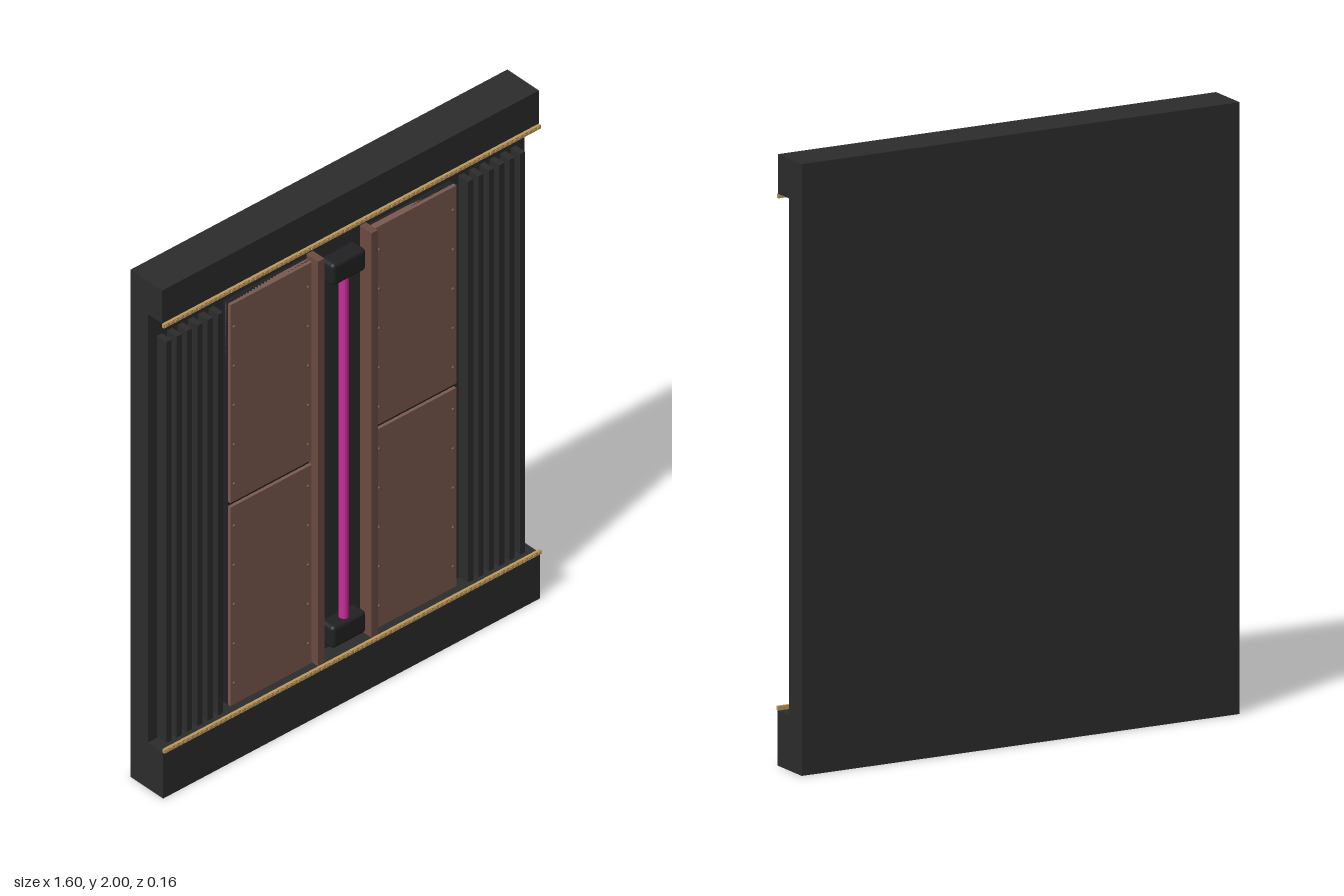
import * as THREE from 'three';
import { RoundedBoxGeometry } from 'three/addons/geometries/RoundedBoxGeometry.js';

const mat = (name, color) => {
  const m = new THREE.MeshStandardMaterial({ color });
  m.name = name;
  return m;
};

export function createModel() {
  const charcoal = mat('charcoal', 0x2d2d2d);
  const black = mat('black', 0x222224);
  const brown = mat('brown', 0x7b5a4f);
  const darkBrown = mat('dark brown', 0x6c4c42);
  const brass = mat('brass', 0xc09a5c);
  const magenta = mat('magenta', 0xc8309a);

  const root = new THREE.Group();
  root.name = 'wallPanel';
  const add = (name, geometry, material, x, y, z) => {
    const mesh = new THREE.Mesh(geometry, material);
    mesh.name = name;
    mesh.position.set(x, y, z);
    root.add(mesh);
    return mesh;
  };
  // Box given by its limits on each axis
  const box = (name, material, x0, x1, y0, y1, z0, z1) =>
    add(name, new THREE.BoxGeometry(x1 - x0, y1 - y0, z1 - z0), material,
      (x0 + x1) / 2, (y0 + y1) / 2, (z0 + z1) / 2);

  // Backing slab with header and plinth
  box('backSlab', charcoal, -0.8, 0.8, 0, 2, -0.082, 0);
  box('header', charcoal, -0.8, 0.8, 1.87, 2, 0, 0.068);
  box('plinth', charcoal, -0.8, 0.8, 0, 0.18, 0, 0.073);

  // Brass trim rails, with a row of small studs along the front
  const stud = new THREE.BoxGeometry(0.01, 0.009, 0.004);
  for (const [y, z] of [[1.862, 0.073], [0.187, 0.076]]) {
    box('trimRail', brass, -0.8, 0.8, y - 0.007, y + 0.007, z - 0.006, z + 0.004);
    const studs = new THREE.InstancedMesh(stud, brass, 80);
    studs.name = 'trimStuds';
    for (let i = 0; i < 80; i++) {
      studs.setMatrixAt(i, new THREE.Matrix4().makeTranslation(-0.79 + i * 0.02, y, z + 0.005));
    }
    root.add(studs);
  }

  const rivet = new THREE.SphereGeometry(0.006, 8, 4, 0, Math.PI * 2, 0, Math.PI / 2);
  rivet.rotateX(Math.PI / 2);

  for (const s of [-1, 1]) {
    // Mirrors a box limit pair to the chosen side
    const side = (name, m, a, b, ...rest) =>
      box(name, m, Math.min(s * a, s * b), Math.max(s * a, s * b), ...rest);

    // Vertical ribs near the outer edge
    for (let i = 0; i < 6; i++) {
      const x = 0.531 + i * 0.044;
      side('rib', charcoal, x - 0.011, x + 0.011, 0.185, 1.765, 0, 0.045);
    }

    // Two stacked panels with a dark strip between them
    side('panelBacking', black, 0.135, 0.48, 0.185, 1.765, 0, 0.022);
    side('lowerPanel', brown, 0.135, 0.48, 0.185, 0.967, 0.01, 0.034);
    side('upperPanel', brown, 0.135, 0.48, 0.985, 1.765, 0.01, 0.034);

    // Rivets down both edges of each panel
    for (const y0 of [0.27, 1.055]) {
      for (let i = 0; i < 5; i++) {
        for (const x of [0.15, 0.465]) {
          add('rivet', rivet, darkBrown, s * x, y0 + i * 0.155, 0.034);
        }
      }
    }

    // Post beside the light channel
    side('post', darkBrown, 0.1, 0.127, 0.18, 1.775, 0, 0.056);
  }

  // Light tube held by rounded brackets
  add('lightTube', new THREE.CylinderGeometry(0.017, 0.017, 1.4, 20), magenta, 0, 0.978, 0.036);
  for (const y of [0.263, 1.692]) {
    add('tubeBracket', new RoundedBoxGeometry(0.144, 0.085, 0.066, 3, 0.014), black, 0, y, 0.032);
  }
  return root;
}
